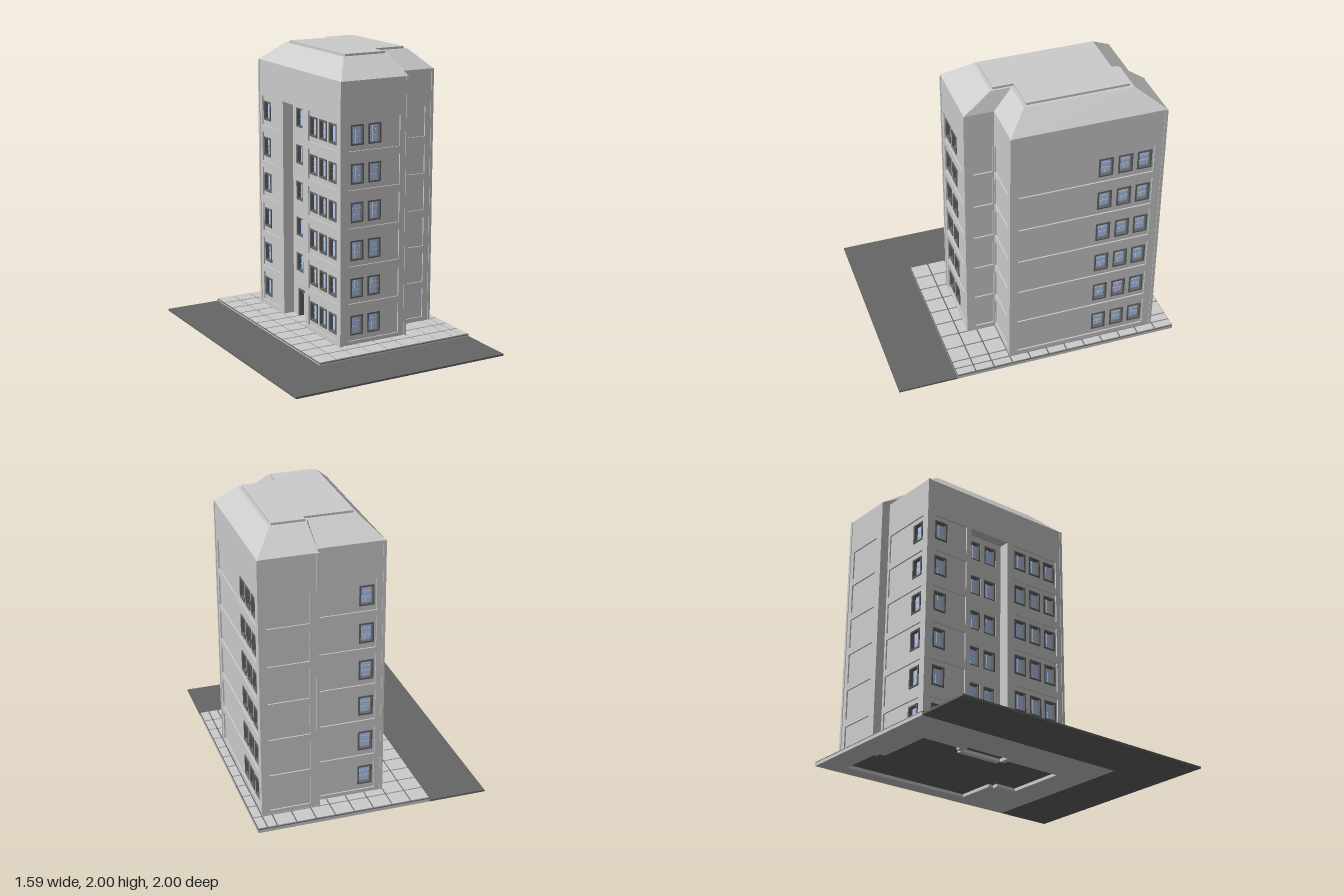
import * as THREE from 'three';

const mat = (color) => new THREE.MeshStandardMaterial({ color, flatShading: true });
const grey = mat(0xcccccc), dark = mat(0x666666), glassMat = mat(0xacc8f6);

const FLOORS = 6, PITCH = 0.2645, EAVES = 1.855;
const X = 0.72, L = -0.13;

// Building outline [x, z], counter-clockwise from above, without the entrance recess
const outline = [[L, 0.39], [0.39, 0.39], [0.39, 0.19], [X, 0.19],
  [X, -0.86], [0.33, -0.86], [0.33, -0.8], [L, -0.8]];

function mesh(parent, name, geometry, material = grey) {
  const m = new THREE.Mesh(geometry, material);
  m.name = name;
  parent.add(m);
  return m;
}

function box(parent, name, x0, x1, y0, y1, z0, z1, material) {
  const m = mesh(parent, name, new THREE.BoxGeometry(x1 - x0, y1 - y0, z1 - z0), material);
  m.position.set((x0 + x1) / 2, (y0 + y1) / 2, (z0 + z1) / 2);
  return m;
}

const extrude = (shape, depth, z) =>
  new THREE.ExtrudeGeometry(shape, { depth, bevelEnabled: false }).translate(0, 0, z);

const rect = (x0, x1, y0, y1, Type = THREE.Shape) => new Type(
  [[x0, y0], [x1, y0], [x1, y1], [x0, y1]].map(([x, y]) => new THREE.Vector2(x, y)));

// Upright prism over a plan polygon
function prism(parent, name, plan, y0, y1, material, hole) {
  const pts = (p) => p.map(([x, z]) => new THREE.Vector2(x, -z));
  const shape = new THREE.Shape(pts(plan));
  if (hole) shape.holes.push(new THREE.Path(pts(hole)));
  return mesh(parent, name, extrude(shape, y1 - y0, y0).rotateX(-Math.PI / 2), material);
}

// Window parts, centred on the opening, facing +z
const W = 0.1, H = 0.14;
const frameShape = rect(-W / 2, W / 2, -H / 2, H / 2);
frameShape.holes.push(rect(-W / 2 + 0.011, W / 2 - 0.011, -H / 2 + 0.011, H / 2 - 0.011, THREE.Path));
const frameGeo = extrude(frameShape, 0.04, -0.044);
const paneGeo = new THREE.BoxGeometry(W - 0.02, H - 0.02, 0.004);
const barV = new THREE.BoxGeometry(0.004, H - 0.02, 0.004);
const barH = new THREE.BoxGeometry(W - 0.02, 0.004, 0.004);

function addWindow(parent, u, y) {
  const g = new THREE.Group();
  g.name = 'window';
  g.position.set(u, y, 0);
  mesh(g, 'windowFrame', frameGeo, dark);
  mesh(g, 'windowPane', paneGeo, glassMat).position.z = -0.034;
  mesh(g, 'glazingBar', barV).position.z = -0.031;
  for (const dy of [-0.02, 0.02]) mesh(g, 'glazingBar', barH).position.set(0, dy, -0.031);
  parent.add(g);
}

// Wall from a to b: outer skin with sunk panels, inner skin with window openings
function addWall(parent, name, a, b, panel, windows, door) {
  const dx = b[0] - a[0], dz = b[1] - a[1], len = Math.hypot(dx, dz);
  const g = new THREE.Group();
  g.name = name;
  g.position.set(a[0], 0, a[1]);
  g.rotation.y = Math.atan2(-dz, dx);
  const outer = rect(0, len, 0, EAVES), inner = rect(0, len, 0, EAVES);
  for (let f = 0; f < FLOORS; f++) {
    const y = f * PITCH;
    if (panel) outer.holes.push(rect(panel[0], panel[1], y + 0.06, y + 0.273, THREE.Path));
    if (door && f === 0) {
      for (const s of [outer, inner]) s.holes.push(rect(door - 0.08, door + 0.08, 0.03, 0.24, THREE.Path));
      continue;
    }
    for (const u of windows) {
      const hole = () => rect(u - W / 2, u + W / 2, y + 0.168 - H / 2, y + 0.168 + H / 2, THREE.Path);
      inner.holes.push(hole());
      if (!panel) outer.holes.push(hole());
      addWindow(g, u, y + 0.168);
    }
  }
  mesh(g, 'wallFacing', extrude(outer, 0.01, -0.01));
  mesh(g, 'wallCore', extrude(inner, 0.03, -0.04));
  parent.add(g);
  return g;
}

export function createModel() {
  const model = new THREE.Group();
  model.name = 'apartmentBuilding';

  // Road around the corner
  prism(model, 'road', [[-0.8, 1], [0.79, 1], [0.79, 0.59], [-0.4, 0.59], [-0.4, -1], [-0.8, -1]],
    0, 0.013, dark);

  // Pavement: slab, dark joints and tiles
  const plot = [[-0.4, 0.59], [0.79, 0.59], [0.79, -1], [-0.4, -1]];
  prism(model, 'pavementSlab', plot, 0, 0.022, grey, outline);
  prism(model, 'pavementJoints', plot, 0.022, 0.027, dark);
  const xs = [0, 1, 2, 3, 4, 5, 6, 7, 8].map((i) => -0.4 + i * 0.1322).concat(0.725, 0.79);
  const step = 1.59 / 12;
  for (let i = 0; i < xs.length - 1; i++) {
    for (let j = 0; j < 12; j++) {
      const z = -1 + j * step;
      box(model, 'pavingTile', xs[i] + 0.005, xs[i + 1] - 0.005, 0.027, 0.033, z + 0.005, z + step - 0.005);
    }
  }

  // Walls
  const o = outline, r = -0.05, z1 = -0.43, z2 = -0.11;
  addWall(model, 'frontWall', o[0], o[1], [0.06, 0.46], [0.13, 0.265]);
  addWall(model, 'frontStepWall', o[1], o[2], [0.055, 0.19], []);
  addWall(model, 'frontSetbackWall', o[2], o[3], [0.01, 0.27], []);
  addWall(model, 'leftWall', o[3], o[4], [0.055, 0.98], [0.65, 0.785, 0.917]);
  addWall(model, 'backWall', o[4], o[5], [0.05, 0.33], []);
  addWall(model, 'backStepWall', o[5], o[6], null, []);
  addWall(model, 'backSetbackWall', o[6], o[7], [0.02, 0.405], [0.34]);
  addWall(model, 'rightRearWall', o[7], [L, z1], [0.05, 0.33], [0.115]);
  addWall(model, 'recessSide', [L, z1], [r, z1], null, []);
  const entrance = addWall(model, 'recessWall', [r, z1], [r, z2], null, [0.095, 0.227], 0.16);
  addWall(model, 'recessSide', [r, z2], [L, z2], null, []);
  addWall(model, 'rightFrontWall', [L, z2], o[0], [0.05, 0.445], [0.115, 0.248, 0.38]);
  box(model, 'recessLintel', L, r, 1.6, EAVES, z1, z2);

  // Entrance door
  const doorFrame = rect(0.08, 0.24, 0.03, 0.24);
  doorFrame.holes.push(rect(0.095, 0.225, 0.03, 0.225, THREE.Path));
  mesh(entrance, 'doorFrame', extrude(doorFrame, 0.044, -0.04), dark);
  box(entrance, 'door', 0.095, 0.225, 0.03, 0.225, -0.04, -0.03);
  box(entrance, 'doorMeetingRail', 0.157, 0.163, 0.03, 0.225, -0.03, -0.024, dark);

  // Slim posts on the outer corners
  for (const i of [0, 1, 3, 4, 5, 7]) {
    const [x, z] = o[i];
    const cx = x + (x === L ? 0.006 : -0.006), cz = z + (z > 0 ? -0.006 : 0.006);
    const px = i === 5 ? x + 0.006 : cx;
    box(model, 'cornerPost', px - 0.01, px + 0.01, 0.03, EAVES, cz - 0.01, cz + 0.01);
  }

  // Sloping roof between the eaves loop and the upper loop
  const top = [[0, 0.2], [0.35, 0.2], [0.35, 0.06], [0.59, 0.06],
    [0.59, -0.68], [0.345, -0.68], [0.33, -0.63], [0, -0.63]];
  const verts = [];
  o.forEach(([ax, az], i) => {
    const k = (i + 1) % o.length, [bx, bz] = o[k], [cx, cz] = top[k], [dx, dz] = top[i];
    const h = 1.985;
    verts.push(ax, EAVES, az, bx, EAVES, bz, cx, h, cz, ax, EAVES, az, cx, h, cz, dx, h, dz);
  });
  const roof = new THREE.BufferGeometry();
  roof.setAttribute('position', new THREE.Float32BufferAttribute(verts, 3));
  roof.computeVertexNormals();
  mesh(model, 'roofSlopes', roof);
  prism(model, 'roofDeck', top, 1.975, 1.985);
  prism(model, 'roofCap', [[0.02, 0.18], [0.335, 0.18], [0.335, 0.04], [0.57, 0.04],
    [0.57, -0.655], [0.35, -0.655], [0.35, -0.61], [0.02, -0.61]], 1.985, 2);

  return model;
}
